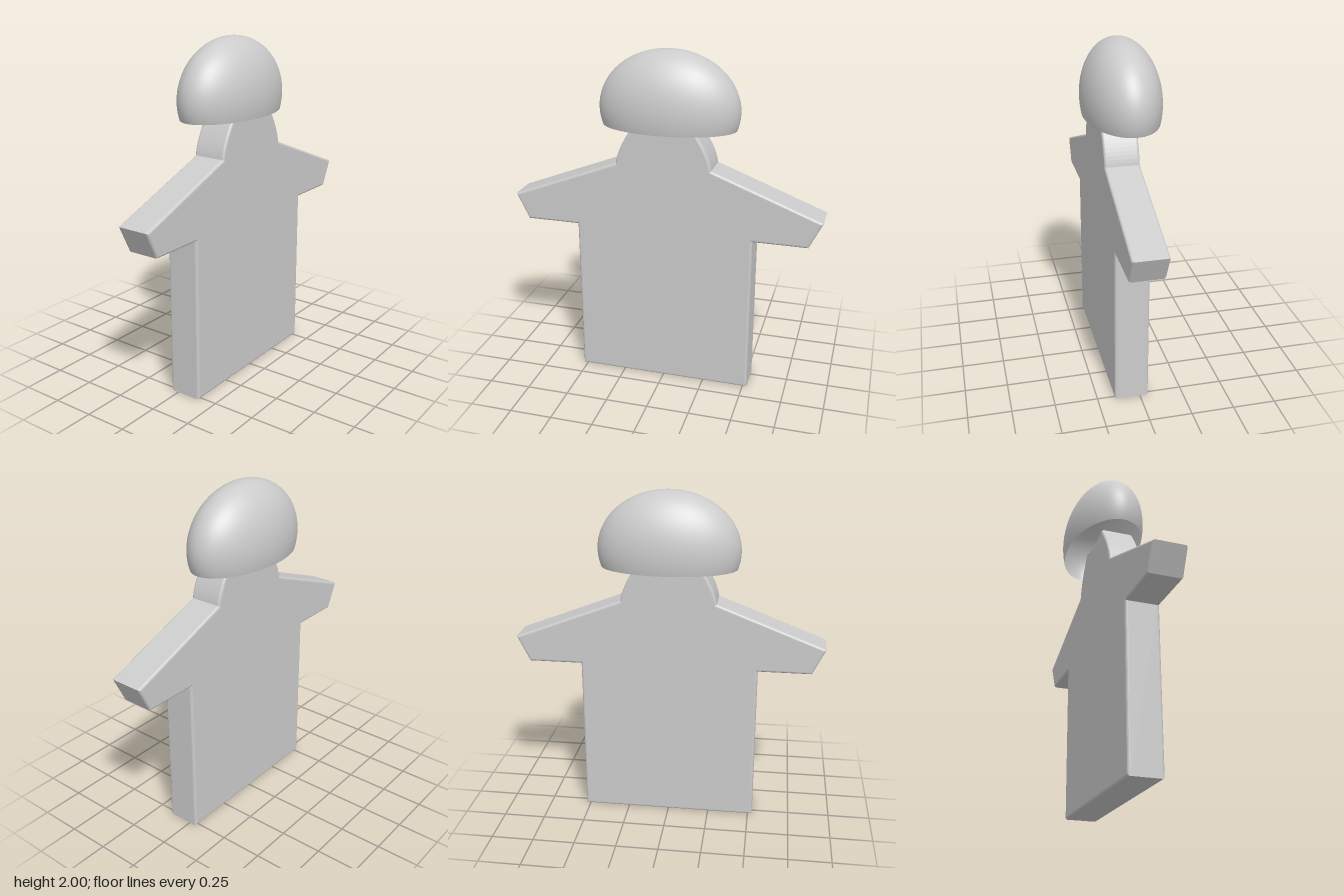
import * as THREE from 'three';

const grey = new THREE.MeshStandardMaterial({ color: 0xcccccc });
const greyShell = new THREE.MeshStandardMaterial({ color: 0xcccccc, side: THREE.DoubleSide });

// Flat shirt-shaped torso with sleeves and a curved neck, softly bevelled
function makeBody() {
  const s = new THREE.Shape();
  s.moveTo(-0.525, 0);
  s.lineTo(0.525, 0);
  s.lineTo(0.525, 0.96);
  s.lineTo(0.84, 0.96);
  s.lineTo(0.915, 1.115);
  s.lineTo(0.28, 1.36);
  s.quadraticCurveTo(0.265, 1.47, 0.14, 1.63);
  s.quadraticCurveTo(0, 1.58, -0.14, 1.63);
  s.quadraticCurveTo(-0.265, 1.47, -0.28, 1.36);
  s.lineTo(-0.915, 1.115);
  s.lineTo(-0.84, 0.96);
  s.lineTo(-0.525, 0.96);
  s.closePath();
  const bevel = 0.015;
  const geometry = new THREE.ExtrudeGeometry(s, {
    depth: 0.2 - 2 * bevel,
    bevelThickness: bevel,
    bevelSize: bevel,
    bevelOffset: -bevel,
    bevelSegments: 4,
    curveSegments: 12,
  });
  geometry.translate(0, 0, -0.05 + bevel);
  const mesh = new THREE.Mesh(geometry, grey);
  mesh.name = 'shirtBody';
  return mesh;
}

// Hollow ellipsoid cap, cut open slightly below its widest level
function makeCap() {
  const rx = 0.41, ry = 0.34, rz = 0.222, centreY = 1.66, rimY = 1.56;
  const geometry = new THREE.SphereGeometry(
    1, 64, 32, 0, Math.PI * 2, 0, Math.acos((rimY - centreY) / ry));
  geometry.scale(rx, ry, rz);
  geometry.translate(0, centreY, 0);
  const mesh = new THREE.Mesh(geometry, greyShell);
  mesh.name = 'headCap';
  return mesh;
}

export function createModel() {
  const model = new THREE.Group();
  model.name = 'shirtFigure';
  model.add(makeBody(), makeCap());
  return model;
}
